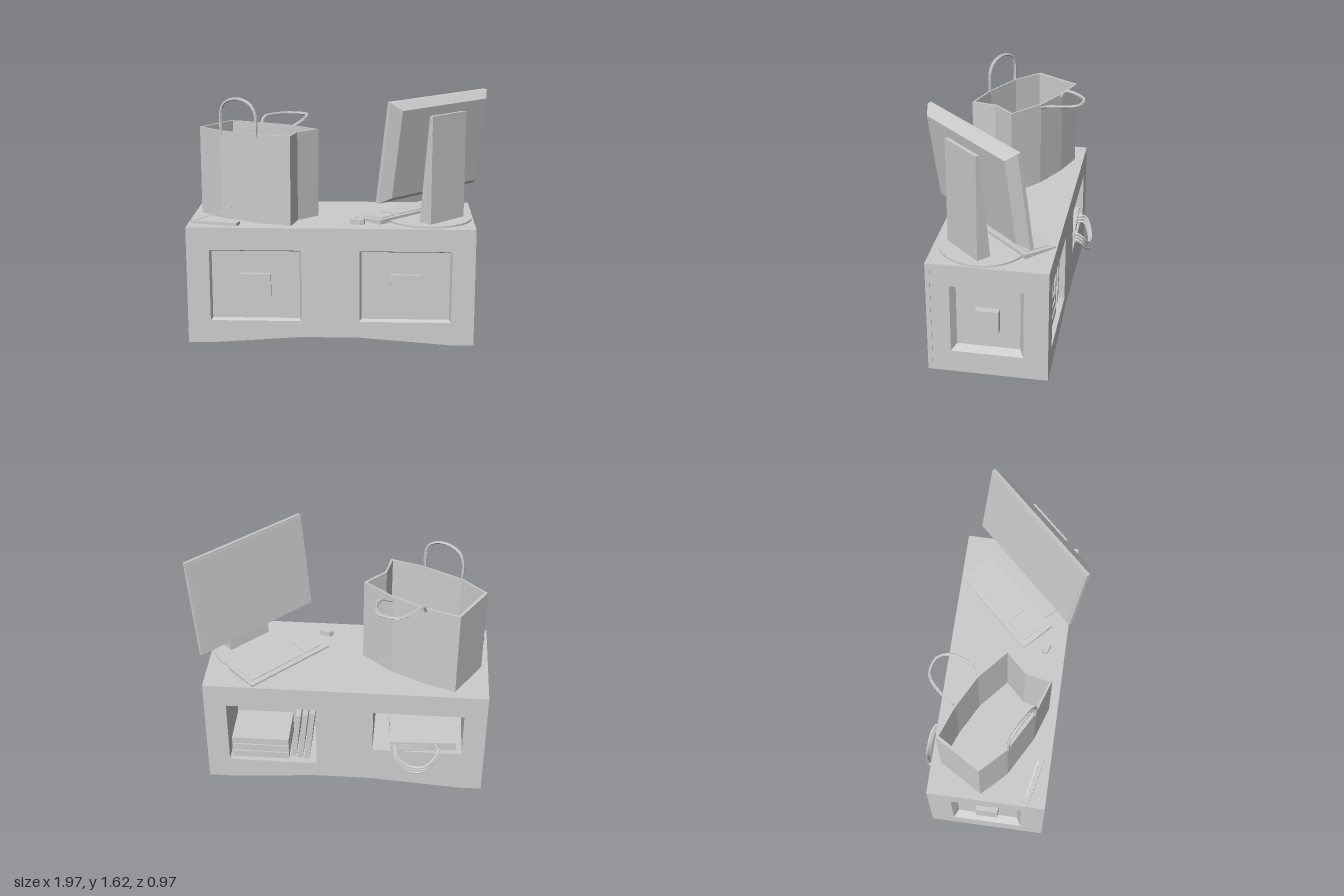
import * as THREE from 'three';

const grey = new THREE.MeshStandardMaterial({ color: 0xcccccc, side: THREE.DoubleSide, flatShading: true });
grey.name = 'plain grey';

function add(parent, name, geometry, x = 0, y = 0, z = 0) {
  const mesh = new THREE.Mesh(geometry, grey);
  mesh.name = name;
  mesh.position.set(x, y, z);
  parent.add(mesh);
  return mesh;
}

function group(parent, name, x = 0, y = 0, z = 0, turn = 0) {
  const g = new THREE.Group();
  g.name = name;
  g.position.set(x, y, z);
  g.rotation.y = turn;
  parent.add(g);
  return g;
}

const box = (w, h, d) => new THREE.BoxGeometry(w, h, d);

// Box whose corners are moved by a rule
function shapedBox(w, h, d, rule) {
  const g = box(w, h, d).toNonIndexed();
  const p = g.attributes.position, v = new THREE.Vector3();
  for (let i = 0; i < p.count; i++) {
    rule(v.fromBufferAttribute(p, i));
    p.setXYZ(i, v.x, v.y, v.z);
  }
  g.computeVertexNormals();
  return g;
}

const outline = pts => pts.map(p => new THREE.Vector2(...p));
const rect = (x0, x1, y0, y1) => outline([[x0, y0], [x1, y0], [x1, y1], [x0, y1]]);

// Outline with holes, extruded along z
function slab(points, holes, depth) {
  const s = new THREE.Shape(points);
  holes.forEach(h => s.holes.push(new THREE.Path(h)));
  return new THREE.ExtrudeGeometry(s, { depth, bevelEnabled: false });
}

// Sloping rim of a recess: wide at z = 0, narrower by b at z = -d
function rim(w, h, d, b) {
  const pos = [], idx = [];
  const corners = [[-1, -1], [1, -1], [1, 1], [-1, 1]];
  for (let i = 0; i < 4; i++) {
    const [p, q] = [corners[i], corners[(i + 1) % 4]];
    const at = (c, k, z) => pos.push(c[0] * (w / 2 - k), c[1] * (h / 2 - k), z);
    at(p, 0, 0); at(q, 0, 0); at(q, b, -d); at(p, b, -d);
    const n = i * 4;
    idx.push(n, n + 2, n + 1, n, n + 3, n + 2);
  }
  const g = new THREE.BufferGeometry();
  g.setAttribute('position', new THREE.Float32BufferAttribute(pos, 3));
  g.setIndex(idx);
  g.computeVertexNormals();
  return g;
}

function cord(points, radius = 0.01) {
  const curve = new THREE.CatmullRomCurve3(points.map(p => new THREE.Vector3(...p)), false, 'centripetal');
  return new THREE.TubeGeometry(curve, 18, radius, 5);
}

function buildCounter(root) {
  const g = group(root, 'counter');
  const body = (x0, x1) => outline([[x0, 0.005], [-0.85, 0.005], [-0.25, 0.05], [0.13, 0.05],
    [0.73, 0.005], [x1, 0.005], [x1, 0.79], [x0, 0.79]]);
  const panels = [rect(-0.85, -0.25, 0.16, 0.64), rect(0.13, 0.73, 0.16, 0.64)];
  const cubbies = [rect(-0.85, -0.25, 0.31, 0.63), rect(0.13, 0.73, 0.16, 0.63)];
  add(g, 'frontFace', slab(body(-1, 0.88), panels, 0.03), 0, 0, 0.358);
  add(g, 'core', slab(body(-0.95, 0.83), [], 0.348), 0, 0, 0.01);
  add(g, 'cubbyWalls', slab(body(-0.95, 0.83), cubbies, 0.365), 0, 0, -0.355);
  add(g, 'backFace', slab(body(-1, 0.88), cubbies, 0.037), 0, 0, -0.392);
  for (const x of [-0.55, 0.43]) {
    add(g, 'frontPanelRim', rim(0.6, 0.48, 0.03, 0.012), x, 0.4, 0.388);
    add(g, 'frontKnob', box(0.2, 0.16, 0.028), x, 0.4, 0.372);
  }
  // End walls with deeper recesses
  for (const s of [1, -1]) {
    const end = group(g, 'endPanel', s > 0 ? 0.88 : -1, 0, 0, s * Math.PI / 2);
    add(end, 'endFace', slab(rect(-0.357, 0.357, 0.005, 0.79), [rect(-0.235, 0.235, 0.16, 0.64)], 0.05), 0, 0, -0.05);
    add(end, 'endRim', rim(0.47, 0.48, 0.05, 0.03), 0, 0.4, 0);
    add(end, 'endKnob', box(0.15, 0.155, 0.048), 0, 0.4, -0.026);
  }
}

function buildCubbyContents(root) {
  const books = group(root, 'books');
  for (let i = 0; i < 3; i++) {
    add(books, 'flatBook', box(0.39, 0.05, 0.3), 0.52, 0.187 + i * 0.053, -0.21 + i * 0.006);
    add(books, 'leaningBook', box(0.036, 0.4 - i * 0.02, 0.27), 0.18 + i * 0.048, 0.365 - i * 0.01, -0.22 + i * 0.01)
      .rotation.z = 0.11;
  }
  // Folded bags with drooping handles
  const bags = group(root, 'foldedBags');
  for (let i = 0; i < 3; i++) {
    const y = 0.325 + i * 0.024;
    add(bags, 'foldedBag', box(0.44, 0.02, 0.36), -0.58, y, -0.2).rotation.y = 0.1 - i * 0.03;
    const z = -0.004 * i, d = y - 0.005;
    add(bags, 'foldedBagHandle', cord([[-0.67, d, -0.36], [-0.695, d, -0.42 + z], [-0.66, d - 0.06, -0.46 + z],
      [-0.6, d - 0.11, -0.477 + z], [-0.5, d - 0.11, -0.477 + z], [-0.43, d - 0.06, -0.46 + z],
      [-0.4, d, -0.42 + z], [-0.43, d, -0.36]]));
  }
}

function buildShoppingBag(root) {
  const g = group(root, 'shoppingBag');
  const plan = [[-0.955, -0.04], [-0.78, -0.33], [-0.575, -0.255], [-0.355, -0.14], [-0.155, 0.03],
    [-0.285, 0.165], [-0.32, 0.33], [-0.54, 0.257], [-0.8, 0.115]].map(([x, z]) => [x, -z]);
  const inner = plan.map(([x, y]) => [-0.54 + (x + 0.54) * 0.95, (y + 0.01) * 0.95 - 0.01]);
  const walls = add(g, 'bagWalls', slab(outline(plan), [outline(inner)], 0.59), 0, 0.79, 0);
  const base = add(g, 'bagBase', slab(outline(plan), [], 0.01), 0, 0.79, 0);
  walls.rotation.x = base.rotation.x = -Math.PI / 2;
  add(g, 'uprightHandle', cord([[-0.79, 1.35, 0.12], [-0.79, 1.5, 0.12], [-0.765, 1.565, 0.135], [-0.71, 1.595, 0.165],
    [-0.65, 1.598, 0.2], [-0.585, 1.57, 0.235], [-0.55, 1.51, 0.252], [-0.545, 1.35, 0.252]]));
  add(g, 'foldedHandle', cord([[-0.56, 1.36, -0.25], [-0.55, 1.41, -0.28], [-0.46, 1.42, -0.39], [-0.39, 1.42, -0.43],
    [-0.28, 1.42, -0.4], [-0.25, 1.42, -0.33], [-0.28, 1.4, -0.2], [-0.35, 1.36, -0.145]]));
}

function buildWorkstation(root) {
  const g = group(root, 'workstation', 0.604, 0.79, 0.092, 0.81);
  add(g, 'standBase', new THREE.CylinderGeometry(0.29, 0.29, 0.012, 32), 0, 0.006, -0.03);
  // Stand, thin at the top and deep at the foot
  add(g, 'standLeg', shapedBox(0.33, 0.72, 0.1, v => {
    if (v.z < 0 && v.y > 0) v.z = 0.025;
  }), 0, 0.36, 0.088);
  // Display leaning back, with a bevelled rear
  const display = group(g, 'display', 0, 0.175, -0.064);
  display.rotation.x = 0.148;
  add(display, 'displayFrame', box(0.946, 0.665, 0.025), 0, 0.3325, 0.0125);
  add(display, 'displayBack', shapedBox(0.946, 0.665, 0.055, v => {
    if (v.z > 0) { v.x -= Math.sign(v.x) * 0.06; v.y -= Math.sign(v.y) * 0.045; }
  }), 0, 0.3325, 0.0525);
  add(display, 'screen', box(0.915, 0.635, 0.004), 0, 0.3325, -0.001);
  // Keyboard wedge with key blocks
  const keyboard = group(g, 'keyboard', -0.03, 0, -0.245);
  add(keyboard, 'keyboardBase', shapedBox(0.67, 0.03, 0.245, v => {
    if (v.y > 0 && v.z < 0) v.y = -0.003;
  }), 0, 0.015, 0);
  for (const [x, w] of [[0.09, 0.43], [-0.225, 0.14]]) {
    add(keyboard, 'keyBlock', box(w, 0.008, 0.17), x, 0.022, 0).rotation.x = -0.073;
  }
}

function buildSmallItems(root) {
  const mouse = add(root, 'mouse', slab(outline([[0.07, -0.27], [0.065, -0.25], [0.09, -0.225], [0.16, -0.25],
    [0.155, -0.28], [0.13, -0.288]]), [], 0.035), 0, 0.79, 0);
  mouse.rotation.x = -Math.PI / 2;
  // Stapler with raised arm
  const stapler = group(root, 'stapler', -0.82, 0.79, 0.283, -0.22);
  add(stapler, 'staplerBase', box(0.32, 0.02, 0.06), 0, 0.01, 0);
  add(stapler, 'staplerArm', box(0.26, 0.007, 0.014), -0.005, 0.068, 0).rotation.z = 0.38;
}

export function createModel() {
  const root = new THREE.Group();
  root.name = 'serviceCounter';
  buildCounter(root);
  buildCubbyContents(root);
  buildShoppingBag(root);
  buildWorkstation(root);
  buildSmallItems(root);
  return root;
}
